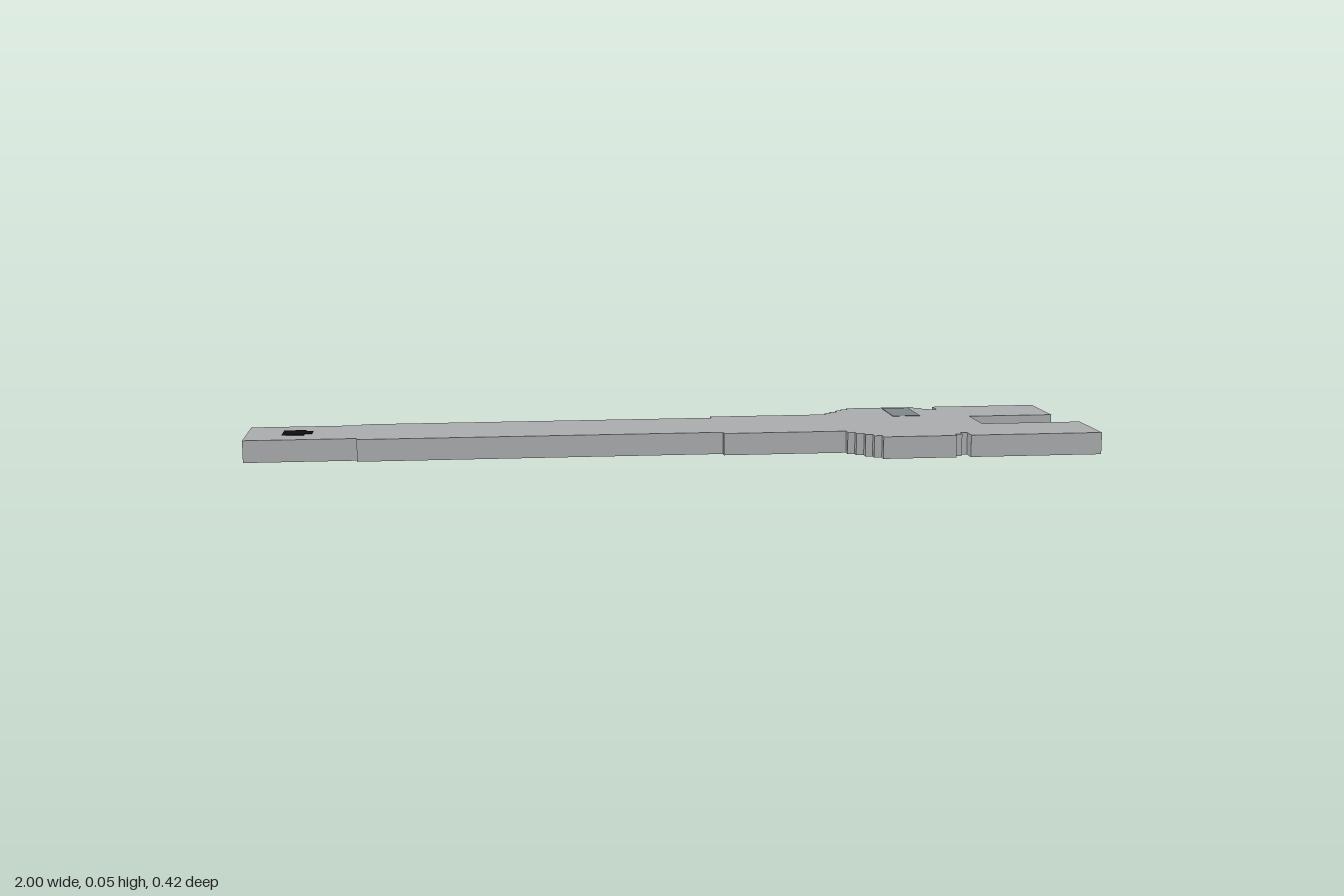
import * as THREE from 'three';

const THICK = 0.052;

// Extrudes a plan outline of [x, z] points upward from height y.
function slab(name, points, y, height, material) {
  const shape = new THREE.Shape(points.map(([x, z]) => new THREE.Vector2(x, -z)));
  const geometry = new THREE.ExtrudeGeometry(shape, { depth: height, bevelEnabled: false });
  geometry.rotateX(-Math.PI / 2);
  const mesh = new THREE.Mesh(geometry, material);
  mesh.name = name;
  mesh.position.y = y;
  return mesh;
}

// Turns [x start, half width] steps into a staircase edge ending at xEnd.
function stairs(steps, xEnd) {
  return steps.flatMap(([x, w], i) => [[x, w], [i + 1 < steps.length ? steps[i + 1][0] : xEnd, w]]);
}

export function createModel() {
  const group = new THREE.Group();
  group.name = 'wrench';

  const steel = new THREE.MeshStandardMaterial({ color: 0xa9abac });
  steel.name = 'steel grey';
  const slate = new THREE.MeshStandardMaterial({ color: 0x7d868a });
  slate.name = 'slate grey';
  const black = new THREE.MeshStandardMaterial({ color: 0x0c0d0f });
  black.name = 'black';

  // Stepped edge shared by both sides: handle, grip, neck, head
  const shared = [
    [-1, 0.09], [-0.74, 0.104], [0.113, 0.121], [0.405, 0.139], [0.422, 0.156],
    [0.44, 0.174], [0.457, 0.191], [0.475, 0.208], [0.65, 0.191], [0.667, 0.174],
  ];
  // The two jaws differ in length and in the depth of the notch behind them
  const frontEdge = stairs([...shared, [0.684, 0.208]], 1);
  const backEdge = stairs([...shared, [0.684, 0.165], [0.701, 0.208]], 0.965);

  const outline = [
    ...frontEdge,
    [1, 0.054], [0.755, 0.054], [0.755, -0.054], [0.965, -0.054],
    ...backEdge.map(([x, w]) => [x, -w]).reverse(),
  ];
  group.add(slab('wrenchBody', outline, 0, THICK, steel));

  // Dark hanging hole mark on the handle end
  const hole = [
    [-0.917, -0.033], [-0.865, -0.033], [-0.865, -0.017], [-0.848, -0.017],
    [-0.848, 0.017], [-0.865, 0.017], [-0.865, 0.033], [-0.917, 0.033],
  ];
  group.add(slab('hangingHole', hole, THICK - 0.001, 0.002, black));

  // Inlaid patch on the head, showing on top and underneath
  const patch = [[0.565, -0.195], [0.634, -0.195], [0.634, -0.073], [0.565, -0.073]];
  group.add(slab('headPatchTop', patch, THICK - 0.001, 0.002, slate));
  group.add(slab('headPatchBottom', patch, -0.001, 0.002, slate));

  return group;
}
